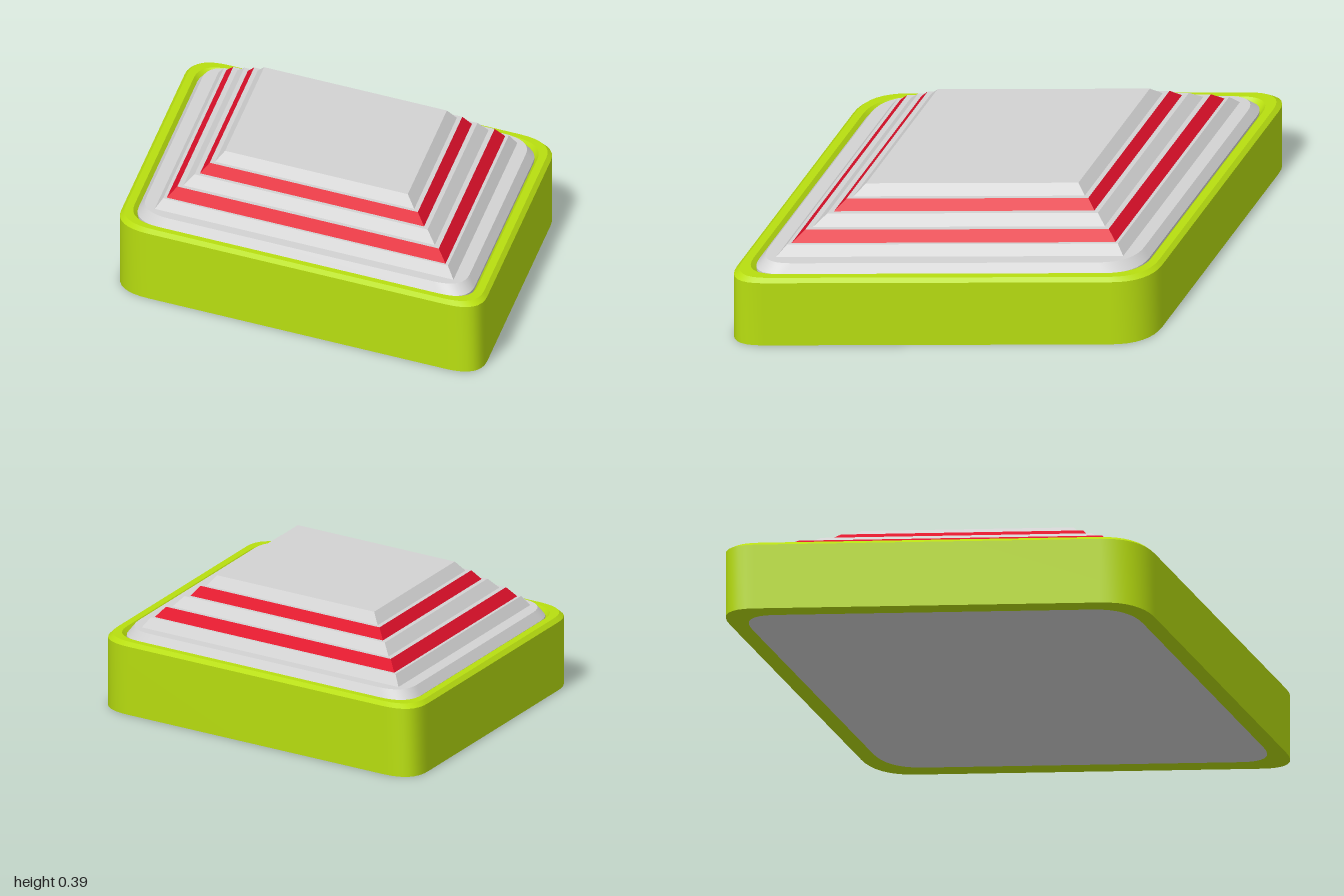
import * as THREE from 'three';
import { mergeGeometries } from 'three/addons/utils/BufferGeometryUtils.js';

const RATIO = 0.7; // diamond width / length
const STEPS = 8; // segments per rounded corner

// Rounded diamond outline; X is the half width measured to the unrounded corner
function outline(X) {
  const Z = X / RATIO;
  const t = 0.12 * (X / 0.735) / Math.max(Math.hypot(X, Z), 1e-6);
  const corners = [[X, 0], [0, Z], [-X, 0], [0, -Z]].map(([x, z]) => new THREE.Vector2(x, z));
  return corners.flatMap((c, i) => {
    const a = c.clone().lerp(corners[(i + 3) % 4], t);
    const b = c.clone().lerp(corners[(i + 1) % 4], t);
    return new THREE.QuadraticBezierCurve(a, c, b).getPoints(STEPS);
  });
}

// One smooth band between two outlines
function band([xa, ya], [xb, yb]) {
  const A = outline(xa), B = outline(xb), n = A.length;
  const pos = [], index = [];
  A.forEach((p) => pos.push(p.x, ya, p.y));
  B.forEach((p) => pos.push(p.x, yb, p.y));
  for (let i = 0; i < n; i++) {
    const j = (i + 1) % n;
    index.push(i, n + i, n + j, i, n + j, j);
  }
  const g = new THREE.BufferGeometry();
  g.setAttribute('position', new THREE.Float32BufferAttribute(pos, 3));
  g.setIndex(index);
  g.computeVertexNormals();
  return g;
}

// Sweep a profile of [half width, height] around the diamond, with sharp edges between bands
function sweep(profile) {
  return mergeGeometries(profile.slice(1).map((p, i) => band(profile[i], p)));
}

export function createModel() {
  const model = new THREE.Group();
  const green = new THREE.MeshStandardMaterial({ color: 0xb8de10 });
  const grey = new THREE.MeshStandardMaterial({ color: 0xd2d2d2 });
  const red = new THREE.MeshStandardMaterial({ color: 0xe0102a });
  green.name = 'lime green';
  grey.name = 'light grey';
  red.name = 'red';

  const add = (name, geometry, material) => {
    const mesh = new THREE.Mesh(geometry, material);
    mesh.name = name;
    model.add(mesh);
  };

  // Outer frame with bevelled top edges
  add('rim', sweep([
    [0.735, 0], [0.735, 0.212], [0.72, 0.224], [0.69, 0.224],
    [0.675, 0.208], [0.675, 0], [0.735, 0],
  ]), green);

  // Slab filling the frame
  add('baseSlab', sweep([
    [0, 0], [0.675, 0], [0.675, 0.216], [0.65, 0.243], [0, 0.243],
  ]), grey);

  // Stepped diamond layers: [bottom half width, top half width, bottom y, top y, side material]
  const layers = [
    [0.6, 0.572, 0.243, 0.273, grey],
    [0.56, 0.525, 0.273, 0.303, red],
    [0.505, 0.468, 0.303, 0.333, grey],
    [0.45, 0.418, 0.333, 0.362, red],
    [0.4, 0.367, 0.362, 0.392, grey],
  ];
  layers.forEach(([bottom, top, y0, y1, side], i) => {
    const g = new THREE.CylinderGeometry(top, bottom, y1 - y0, 4)
      .scale(1, 1, 1 / RATIO)
      .translate(0, (y0 + y1) / 2, 0)
      .toNonIndexed();
    g.computeVertexNormals();
    add(`stepLayer${i + 1}`, g, [side, grey, grey]);
  });

  return model;
}
